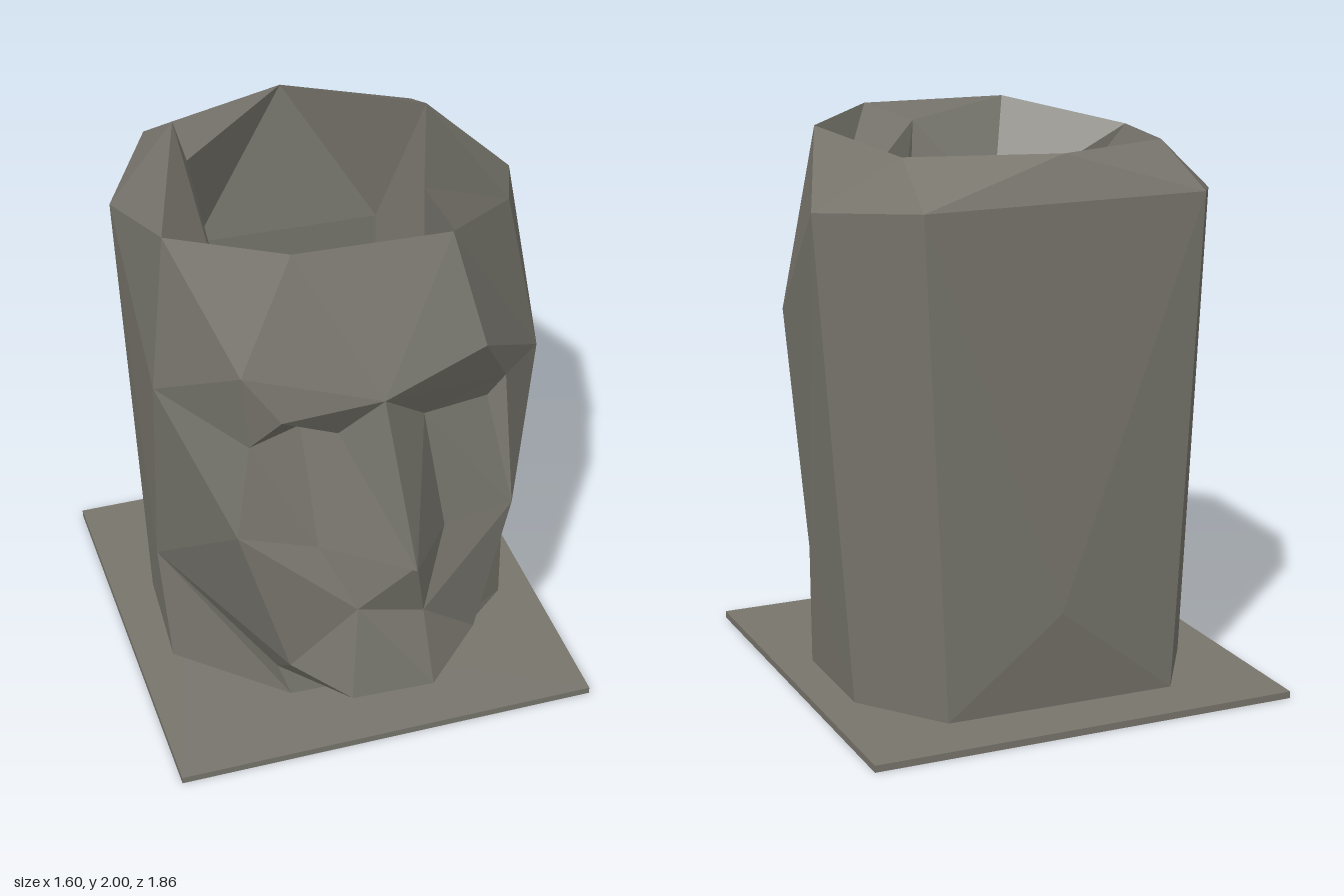
import * as THREE from 'three';

const material = new THREE.MeshStandardMaterial({ color: 0x77756c, flatShading: true });

// Builds a faceted mesh from polygons (lists of corner points), each split as a fan.
function facets(name, polygons) {
  const pos = [];
  for (const p of polygons)
    for (let i = 1; i < p.length - 1; i++) pos.push(...p[0], ...p[i], ...p[i + 1]);
  const geo = new THREE.BufferGeometry();
  geo.setAttribute('position', new THREE.Float32BufferAttribute(pos, 3));
  geo.computeVertexNormals();
  const mesh = new THREE.Mesh(geo, material);
  mesh.name = name;
  return mesh;
}

// Wall between two rings, facing the axis.
const inwardWall = (top, low) => top.map((t, i) => {
  const j = (i + 1) % top.length;
  return top[j] === t ? [t, low[j], low[i]] : [t, top[j], low[j], low[i]];
});
const ringAt = (pts, y, s = 1) => pts.map(([x, z]) => [x * s, y, z * s]);

// Foot of the neck, as x and z
const foot = [[-.28, .42], [.27, .42], [.66, .07], [.66, -.38], [.43, -.69], [-.43, -.68], [-.63, -.35], [-.65, .08]];
const neck = ringAt(foot, .025);

// Landmarks of the head: R is the model's right (-x), L its left (+x)
const P = {
  // rim of the opening
  r0: [-.29, 2, .52], r1: [.26, 2, .53], r2: [.53, 1.96, .32], r3: [.48, 1.95, -.42],
  r4: [0, 1.97, -.67], r5: [-.44, 1.97, -.51], r6: [-.64, 1.92, .17],
  // crown corners, back and temples
  crownL: [.74, 1.75, -.24], backL: [.52, 1.81, -.72], backR: [-.5, 1.82, -.735], crownR: [-.71, 1.76, -.36],
  nape: [.02, .38, -.73], templeL: [.68, 1.31, .27], templeR: [-.7, 1.34, .2],
  // brows and eyes
  browL: [.35, 1.61, .65], browR: [-.48, 1.58, .57], bridge: [-.02, 1.49, .7],
  eyeInL: [.165, 1.31, .56], eyeOutL: [.48, 1.37, .5], lidL: [.425, 1.275, .47],
  eyeTopR: [-.355, 1.41, .62], eyeOutR: [-.45, 1.275, .54], lidR: [-.265, 1.32, .52], eyeInR: [-.145, 1.295, .57],
  // nose, cheeks and mouth
  tip: [.03, .93, .925], wingL: [.23, .86, .62], wingR: [-.23, .86, .62], septum: [.09, .8, .75],
  cheekL: [.49, .88, .59], cheekR: [-.505, .92, .57], lipL: [.14, .54, .68], lipR: [-.11, .615, .7],
  // jaw and chin
  jawL: [.68, .48, .02], jawR: [-.68, .48, .02], chinL: [.365, .34, .59], chinR: [-.325, .31, .58],
  chinMidL: [.155, .265, .77], chinMidR: [-.145, .26, .76], underL: [.26, .13, .4], underR: [-.325, .155, .4],
};
neck.forEach((p, i) => { P['n' + i] = p; });
const named = (list) => list.map((s) => s.split(' ').map((k) => P[k]));

const face = named([
  // forehead and temples
  'bridge browL r1 r0 browR', 'r0 r6 browR', 'r6 templeR browR', 'r1 browL templeL r2',
  // right eye
  'browR eyeTopR bridge', 'browR templeR eyeOutR eyeTopR', 'eyeTopR eyeOutR lidR', 'eyeTopR lidR eyeInR',
  'eyeTopR eyeInR bridge', 'templeR cheekR eyeOutR', 'eyeOutR cheekR wingR lidR', 'lidR wingR eyeInR',
  // left eye
  'bridge eyeInL eyeOutL browL', 'eyeInL lidL eyeOutL', 'eyeInL wingL cheekL lidL', 'lidL cheekL eyeOutL',
  'eyeOutL cheekL templeL', 'browL eyeOutL templeL',
  // nose
  'eyeInR wingR tip bridge', 'bridge tip eyeInL', 'eyeInL tip wingL', 'wingR septum tip', 'septum wingL tip',
  // mouth and cheeks
  'wingR lipR septum', 'septum lipL wingL', 'septum lipR lipL', 'cheekR chinR lipR wingR', 'chinR chinMidR lipR',
  'lipR chinMidR chinMidL lipL', 'lipL chinMidL chinL', 'lipL chinL cheekL wingL',
  'cheekR jawR chinR', 'templeR jawR cheekR', 'chinL jawL cheekL', 'cheekL jawL templeL',
  // under the jaw
  'jawR underR chinR', 'chinR underR chinMidR', 'chinMidR underR underL chinMidL', 'chinMidL underL chinL',
  'chinL underL jawL',
]);

const skull = named([
  // left side
  'r2 templeL crownL', 'templeL jawL crownL', 'crownL jawL n3', 'jawL n2 n3', 'crownL n3 backL', 'backL n3 n4',
  // back
  'backL n4 nape', 'n4 n5 nape', 'n5 backR nape', 'backR backL nape', 'backR n5 n6 crownR',
  // right side
  'crownR n6 n7', 'crownR n7 jawR', 'crownR jawR templeR', 'r6 crownR templeR',
  // sloping top edge
  'r2 crownL r3', 'r3 crownL backL', 'r3 backL r4', 'r4 backL backR', 'r4 backR r5', 'r5 backR crownR', 'r5 crownR r6',
]);

const neckFront = named(['jawR n7 n0 underR', 'underR n0 n1 underL', 'underL n1 n2 jawL']);

export function createModel() {
  const group = new THREE.Group();
  group.name = 'headPlanter';
  group.add(facets('face', face), facets('skull', skull), facets('neck', neckFront));

  // Hollow inside: rim, uneven ledge below it and floor
  const rim = named(['r0 r1 r2 r3 r4 r4 r5 r6'])[0];
  const ledge = [
    [-.2, 1.6, .39], [.08, 1.93, .5], [.5, 1.6, .25], [.48, 1.6, -.42],
    [.35, 1.4, -.6], [-.35, 1.4, -.6], [-.41, 1.85, -.43], [-.44, 1.6, .3],
  ];
  const floor = ringAt([[-.25, .29], [.23, .3], [.48, .1], [.5, -.35], [.35, -.605], [-.35, -.605], [-.47, -.3], [-.44, .12]], .09);
  group.add(facets('hollow', [...inwardWall(rim, ledge), ...inwardWall(ledge, floor), floor]));

  // Shallow recess under the floor
  const hole = ringAt(foot, 0, .95), recess = ringAt(foot, .02, .83);
  group.add(facets('recess', [...inwardWall(recess, hole), [...recess].reverse()]));

  // Base plate with an opening for the recess
  const toShape = ([x, z]) => new THREE.Vector2(x, -z);
  const outline = new THREE.Shape([[-.775, .745], [.795, .705], [.79, -.93], [-.8, -.89]].map(toShape));
  outline.holes.push(new THREE.Path(foot.map(([x, z]) => toShape([x * .95, z * .95]))));
  const plate = new THREE.Mesh(
    new THREE.ExtrudeGeometry(outline, { depth: .025, bevelEnabled: false }).rotateX(-Math.PI / 2), material);
  plate.name = 'basePlate';
  group.add(plate);
  return group;
}
